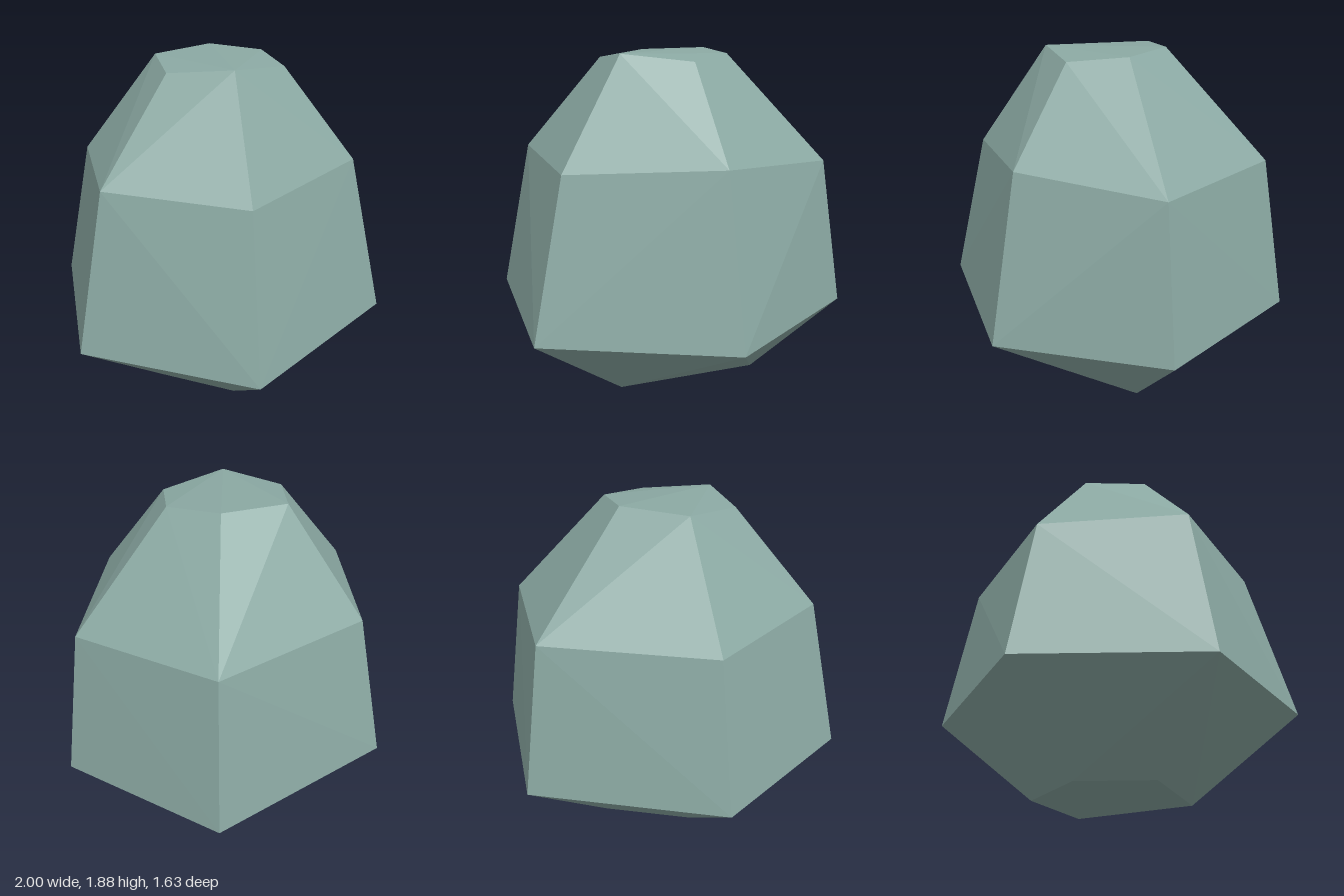
import * as THREE from 'three';
import { ConvexGeometry } from 'three/addons/geometries/ConvexGeometry.js';

// Horizontal rings of corners [x, y, z], each running from +x round by the front
const rings = {
  base: [[0.51, 0.025, 0.03], [-0.22, 0, 0.335], [-0.43, 0.05, 0], [-0.22, 0.05, -0.35], [0.285, 0.05, -0.36]],
  belly: [[0.995, 0.49, 0.04], [0.48, 0.485, 0.81], [-0.56, 0.47, 0.815], [-1, 0.49, -0.02], [-0.49, 0.51, -0.82], [0.58, 0.485, -0.81]],
  shoulder: [[0.865, 1.295, 0.04], [0.375, 1.355, 0.635], [-0.435, 1.31, 0.635], [-0.81, 1.335, -0.01], [-0.4, 1.31, -0.67], [0.5, 1.31, -0.69]],
  crown: [[0.325, 1.86, 0.02], [0.18, 1.83, 0.3], [-0.2, 1.867, 0.3], [-0.37, 1.835, 0], [-0.18, 1.865, -0.295], [0.18, 1.88, -0.24]],
};

export function createModel() {
  const model = new THREE.Group();
  model.name = 'rock';

  const stone = new THREE.MeshStandardMaterial({ color: 0x8ba9a3, flatShading: true });
  stone.name = 'grey green stone';

  // Faceted boulder: the skin stretched over all the rings
  const corners = Object.values(rings).flat().map((p) => new THREE.Vector3(...p));
  const boulder = new THREE.Mesh(new ConvexGeometry(corners), stone);
  boulder.name = 'boulder';
  model.add(boulder);

  return model;
}
